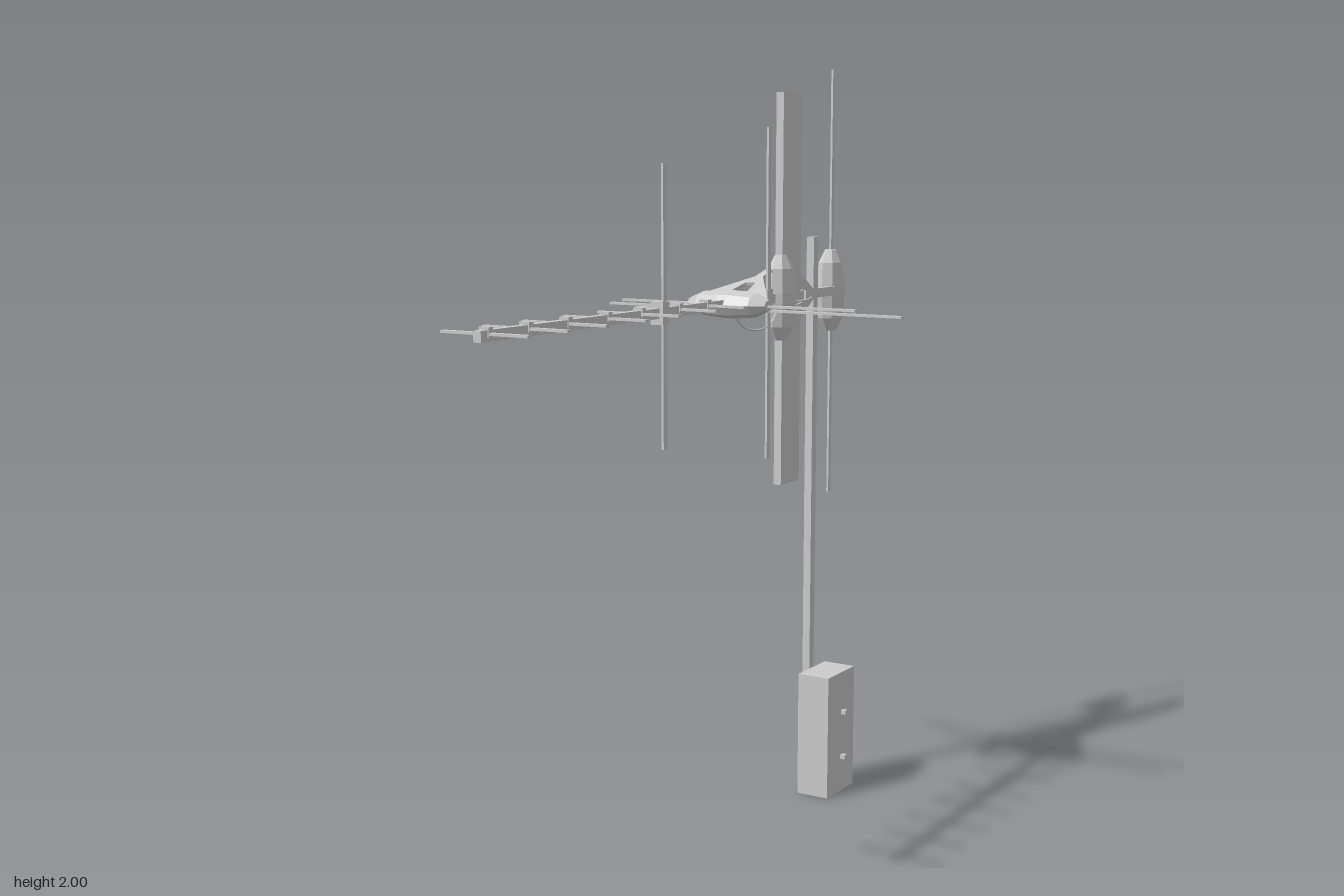
import * as THREE from 'three';

const mat = new THREE.MeshStandardMaterial({ color: 0xcccccc, flatShading: true, side: THREE.DoubleSide });
const BOOM_Y = 1.397;

export function createModel() {
  const model = new THREE.Group();
  model.name = 'antennaMast';

  const add = (name, geo, x = 0, y = 0, z = 0, parent = model) => {
    const m = new THREE.Mesh(geo, mat);
    m.name = name;
    m.position.set(x, y, z);
    parent.add(m);
    return m;
  };
  // box given by its limits on each axis
  const box = (name, x0, x1, y0, y1, z0, z1) =>
    add(name, new THREE.BoxGeometry(x1 - x0, y1 - y0, z1 - z0), (x0 + x1) / 2, (y0 + y1) / 2, (z0 + z1) / 2);

  // mast, equipment cabinet and boom
  box('mast', -0.012, 0.01, 0, 1.55, -0.645, -0.62);
  box('cabinet', 0.01, 0.104, 0, 0.345, -0.712, -0.557);
  box('boom', -0.01, 0.01, 1.385, 1.41, -0.79, 0.83);
  box('panelAntenna', -0.011, 0.011, 0.895, 1.93, -0.545, -0.445);

  // bolts that hold the cabinet to the mast
  for (const y of [0.1, 0.23]) {
    box('mastBolt', -0.028, 0.01, y - 0.005, y + 0.005, -0.648, -0.636);
    box('cabinetBolt', 0.104, 0.118, y - 0.006, y + 0.006, -0.648, -0.634);
  }

  // short directors along the front of the boom
  for (const z of [-0.075, 0.055, 0.22, 0.36, 0.515, 0.66, 0.8]) {
    box('director', -0.117, 0.113, 1.398, 1.404, z - 0.007, z + 0.007);
    box('directorClip', -0.013, 0.013, 1.394, 1.416, z - 0.008, z + 0.008);
  }

  // long horizontal elements
  box('drivenElement', -0.325, 0.357, 1.392, 1.398, -0.204, -0.188);
  box('reflector', -0.435, 0.432, 1.372, 1.378, -0.305, -0.289);
  box('reflectorClamp', -0.02, 0.02, 1.368, 1.386, -0.31, -0.28);

  // vertical elements with their clamps
  for (const [z, y0, y1] of [[0.135, 1.07, 1.75], [-0.365, 0.98, 1.84]]) {
    box('verticalElement', 0.011, 0.017, y0, y1, z - 0.008, z + 0.008);
    box('elementClamp', -0.016, 0.02, 1.37, 1.425, z - 0.014, z + 0.014);
    box('clampScrew', -0.03, -0.016, 1.39, 1.398, z - 0.004, z + 0.004);
  }
  box('rearElement', -0.024, -0.018, 0.825, 2, -0.787, -0.773);

  // faceted feed housing, long axis upright
  const profile = [[0, -1], [0.4, -1], [0.85, -0.68], [1, -0.12], [1, 0.12], [0.85, 0.68], [0.4, 1], [0, 1]]
    .map(([r, y]) => new THREE.Vector2(r, y));
  const housing = (name, x, z, halfThick) => {
    const g = new THREE.Group();
    g.name = name;
    g.position.set(x, BOOM_Y, z);
    const geo = new THREE.LatheGeometry(profile, 8);
    geo.scale(halfThick, 0.113, 0.053);
    add('housingShell', geo, 0, 0, 0, g);
    model.add(g);
    return g;
  };

  // tapering cover plate with a window, lying in the housing's y-z plane
  const cover = (parent, tilt, offset) => {
    const s = new THREE.Shape([[-0.11, 0], [0.11, 0], [0.012, 0.155], [0.009, 0.21], [-0.009, 0.21], [-0.012, 0.155]]
      .map((p) => new THREE.Vector2(...p)));
    s.holes.push(new THREE.Path([[-0.024, 0.05], [-0.014, 0.11], [0.014, 0.11], [0.024, 0.05]]
      .map((p) => new THREE.Vector2(...p))));
    const geo = new THREE.ExtrudeGeometry(s, { depth: 0.008, bevelEnabled: false });
    geo.translate(0, 0, -0.004);
    geo.rotateX(-Math.PI / 2);
    geo.rotateX(tilt);
    geo.rotateZ(-Math.PI / 2);
    add('coverPlate', geo, offset, 0, 0, parent);
  };

  const front = housing('horizontalHousing', 0, -0.193, 0.036);
  front.rotation.z = Math.PI / 2;
  cover(front, 0.3, 0.012);
  const middle = housing('middleHousing', 0, -0.457, 0.036);
  cover(middle, 0, 0.012);
  housing('rearHousing', -0.021, -0.778, 0.036);

  // feed cables hanging below and beside the boom
  const cable = (pts) => add('feedCable', new THREE.TubeGeometry(
    new THREE.CatmullRomCurve3(pts.map((p) => new THREE.Vector3(...p))), 24, 0.003, 5));
  cable([[0, 1.37, -0.21], [0.008, 1.335, -0.25], [0.012, 1.323, -0.31], [0.014, 1.335, -0.38], [0.01, 1.37, -0.42]]);
  cable([[0.012, 1.39, -0.42], [0.022, 1.385, -0.48], [0.022, 1.385, -0.56], [0.012, 1.39, -0.61]]);
  cable([[-0.012, 1.39, -0.62], [-0.02, 1.385, -0.67], [-0.02, 1.39, -0.74]]);

  return model;
}
